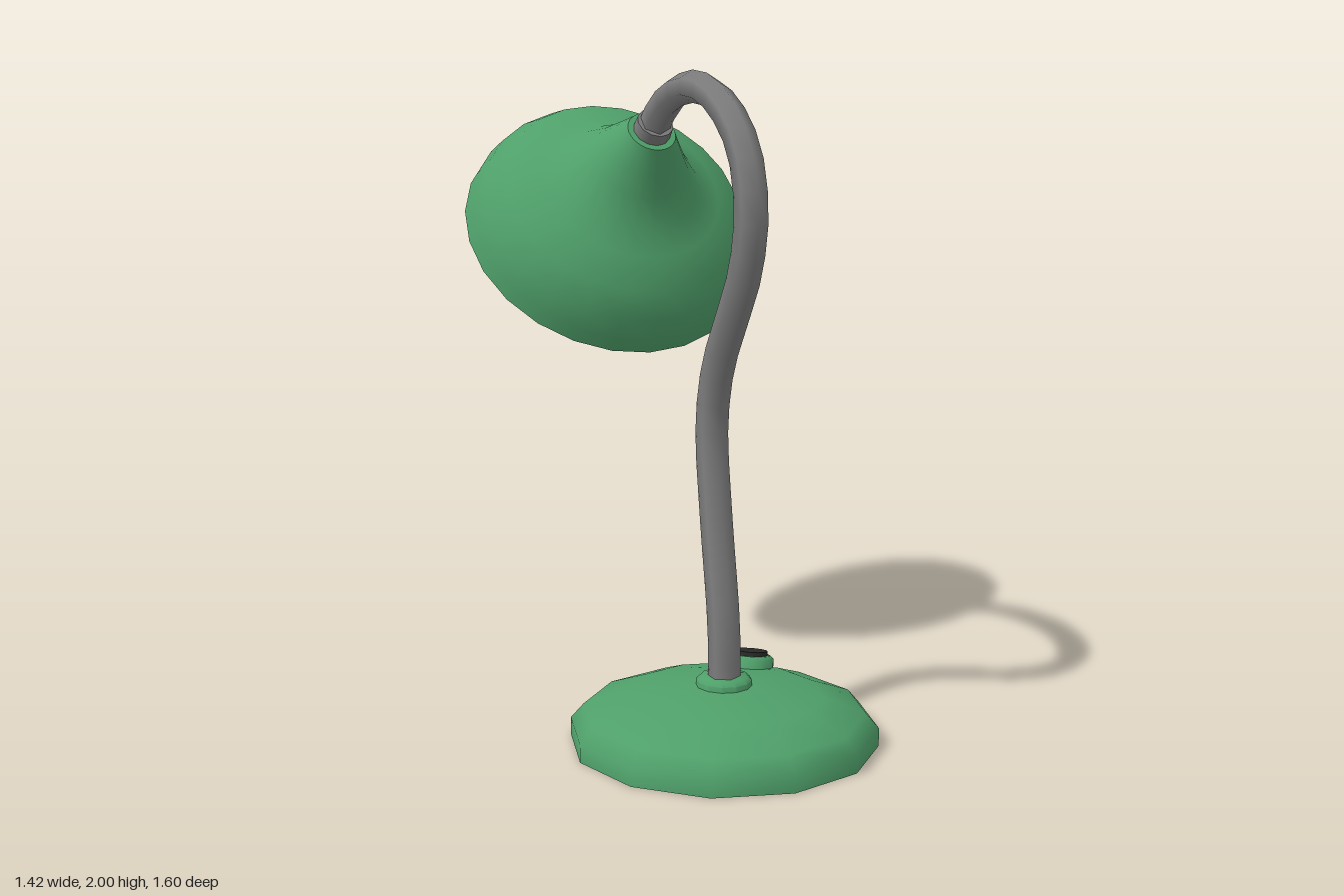
import * as THREE from 'three';
import { toCreasedNormals } from 'three/addons/utils/BufferGeometryUtils.js';

const paint = (color) => new THREE.MeshStandardMaterial({ color });

export function createModel() {
  const green = paint(0x4fa06a);
  const grey = paint(0x7d7d7d);
  const dark = paint(0x2a2a2a);
  const cream = paint(0xecd29a);

  const model = new THREE.Group();
  model.name = 'deskLamp';

  // The lamp is laid out with its neck bending along local +x, then turned
  const lamp = new THREE.Group();
  lamp.name = 'lamp';
  lamp.position.set(0.01, 0, -0.006);
  lamp.rotation.y = 2.178;
  model.add(lamp);

  function add(parent, name, geometry, material, x = 0, y = 0, z = 0) {
    const mesh = new THREE.Mesh(geometry, material);
    mesh.name = name;
    mesh.position.set(x, y, z);
    parent.add(mesh);
    return mesh;
  }

  // Turned part from [radius, height] pairs, edges sharper than the crease stay hard
  function turned(points, sides, crease = 0.9) {
    const profile = points.map(([r, y]) => new THREE.Vector2(r, y));
    return toCreasedNormals(new THREE.LatheGeometry(profile, sides), crease);
  }

  // Base: twelve-sided shallow dome with a flat underside
  const baseX = -0.415;
  add(lamp, 'base', turned([
    [0, 0], [0.467, 0], [0.467, 0.055], [0.428, 0.1], [0.3, 0.148], [0.12, 0.175], [0, 0.18],
  ], 12), green, baseX);
  add(lamp, 'stemSocket', turned([
    [0.085, 0.15], [0.085, 0.193], [0.072, 0.205], [0, 0.205],
  ], 12), green, baseX);

  // Switch: ring and dark button, leaning with the slope of the base
  const lampSwitch = new THREE.Group();
  lampSwitch.name = 'switch';
  lampSwitch.position.set(-0.214, 0.15, 0.188);
  lampSwitch.quaternion.setFromUnitVectors(
    new THREE.Vector3(0, 1, 0), new THREE.Vector3(0.13, 1, 0.13).normalize());
  lamp.add(lampSwitch);
  add(lampSwitch, 'switchRing', turned([
    [0.073, -0.03], [0.073, 0.025], [0.062, 0.035], [0, 0.035],
  ], 16), green);
  add(lampSwitch, 'switchButton', turned([
    [0.052, 0.02], [0.052, 0.048], [0, 0.048],
  ], 16), dark);

  // Gooseneck stem: a hexagon swept along the curve, one corner along the bend
  const path = new THREE.CatmullRomCurve3([
    [-0.415, 0.15], [-0.412, 0.35], [-0.355, 0.68], [-0.322, 0.95], [-0.36, 1.13],
    [-0.446, 1.28], [-0.535, 1.43], [-0.575, 1.6], [-0.533, 1.77], [-0.434, 1.873],
    [-0.31, 1.935], [-0.174, 1.952], [-0.04, 1.925], [0.06, 1.868], [0.127, 1.803],
  ].map(([x, y]) => new THREE.Vector3(x, y, 0)));
  const corners = Array.from({ length: 6 }, (_, i) => {
    const angle = (i + 0.5) * Math.PI / 3;
    return new THREE.Vector2(0.049 * Math.cos(angle), 0.049 * Math.sin(angle));
  });
  const stem = new THREE.ExtrudeGeometry(new THREE.Shape(corners), {
    steps: 28, extrudePath: path, bevelEnabled: false,
  });
  add(lamp, 'stem', toCreasedNormals(stem, 1.2), grey);

  // Head: local y runs from the rim centre up to the neck
  const head = new THREE.Group();
  head.name = 'head';
  head.position.set(0.482, 1.451, 0);
  head.rotation.z = THREE.MathUtils.degToRad(45.2);
  lamp.add(head);

  // Bell-shaped shade with an outer and an inner wall
  const outer = [
    [0.484, 0], [0.475, 0.05], [0.45, 0.12], [0.395, 0.197], [0.3, 0.252],
    [0.22, 0.298], [0.16, 0.37], [0.12, 0.434], [0.092, 0.48], [0.078, 0.505],
  ];
  const inner = outer.slice(1).reverse().map(([r, y]) => [r - 0.013, y - 0.013]);
  const innerRim = [0.471, 0];
  add(head, 'shade', turned([innerRim, ...outer, [0, 0.505]], 24), green);
  add(head, 'shadeLining', turned([[0, 0.492], ...inner, innerRim], 24), green);
  add(head, 'neckCollar', new THREE.CylinderGeometry(0.058, 0.06, 0.05, 12), grey, 0, 0.52);

  // Bulb and its holder
  add(head, 'bulbHolder', new THREE.CylinderGeometry(0.06, 0.06, 0.18, 12), grey, 0, 0.39);
  add(head, 'bulb', new THREE.SphereGeometry(0.14, 20, 14), cream, 0, 0.19);

  return model;
}
